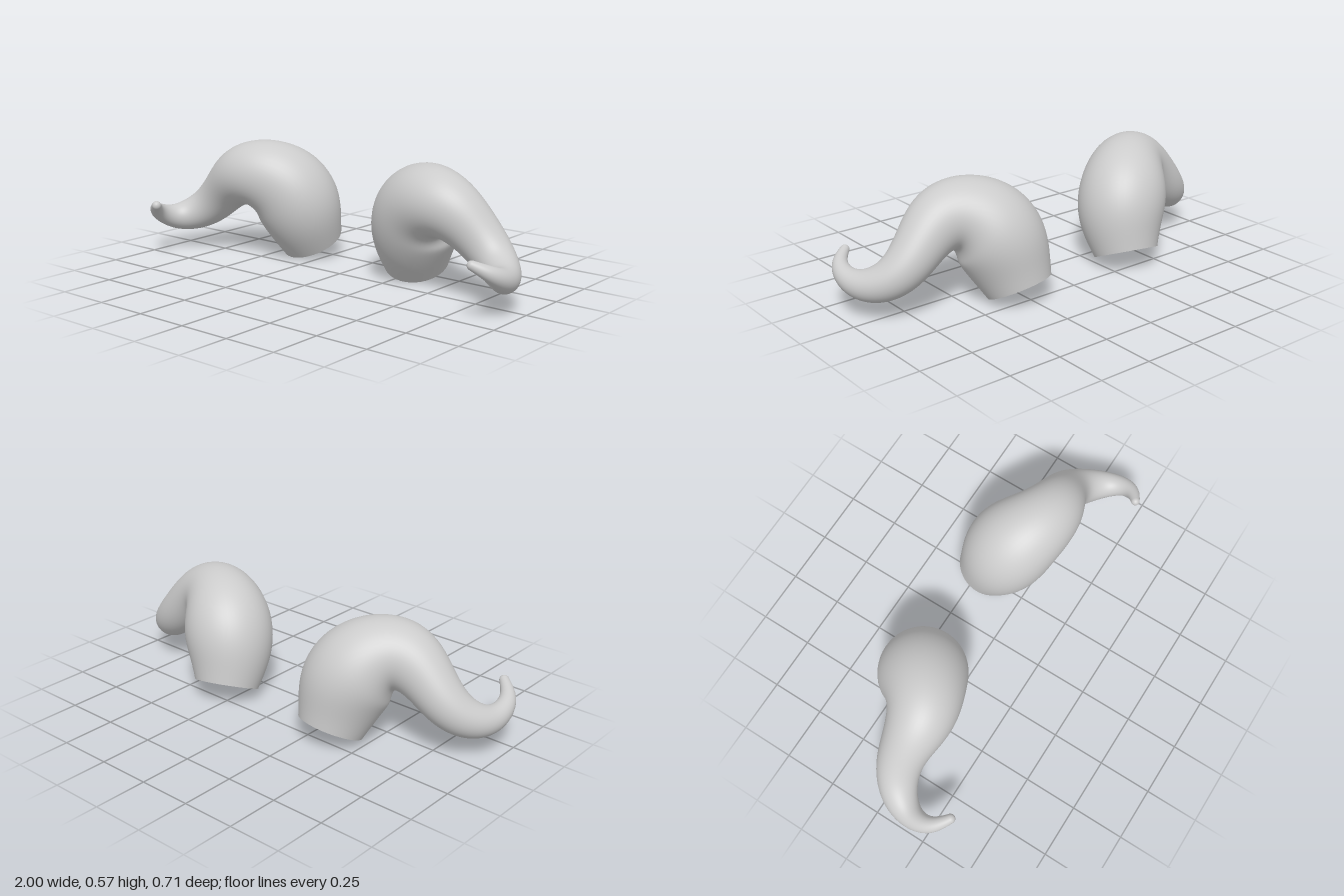
import * as THREE from 'three';

const SIDES = 48;
const STEPS = 130;
const CAP = 8;

// Centre line x, y, z and radius of each horn, from open base to tip
const LEFT = [
  [0.285, 0.063, -0.215, 0.15], [0.3, 0.155, -0.175, 0.183], [0.322, 0.25, -0.148, 0.206],
  [0.367, 0.338, -0.115, 0.207], [0.44, 0.39, -0.072, 0.184], [0.53, 0.406, -0.036, 0.157],
  [0.615, 0.377, -0.037, 0.136], [0.69, 0.312, -0.053, 0.115], [0.76, 0.242, -0.06, 0.103],
  [0.832, 0.182, -0.04, 0.09], [0.9, 0.151, 0.018, 0.076], [0.944, 0.157, 0.09, 0.057],
  [0.955, 0.185, 0.155, 0.043], [0.936, 0.216, 0.21, 0.032], [0.885, 0.245, 0.245, 0.021],
];
const RIGHT = [
  [-0.35, 0.063, -0.215, 0.15], [-0.357, 0.155, -0.175, 0.183], [-0.37, 0.25, -0.148, 0.206],
  [-0.415, 0.338, -0.115, 0.207], [-0.482, 0.393, -0.062, 0.186], [-0.565, 0.41, -0.008, 0.16],
  [-0.645, 0.38, 0.003, 0.14], [-0.72, 0.322, 0, 0.117], [-0.79, 0.252, 0.002, 0.105],
  [-0.858, 0.192, 0.032, 0.092], [-0.918, 0.163, 0.09, 0.077], [-0.95, 0.163, 0.16, 0.058],
  [-0.957, 0.19, 0.225, 0.045], [-0.938, 0.223, 0.285, 0.034], [-0.88, 0.258, 0.332, 0.022],
];

// Evens out a list of vectors, keeping both ends
function smooth(list, passes) {
  for (let n = 0; n < passes; n++) {
    list = list.map((v, i) => (i === 0 || i === list.length - 1) ? v
      : list[i - 1].clone().add(list[i + 1]).multiplyScalar(0.25).addScaledVector(v, 0.5));
  }
  return list;
}

// Rings along the horn: centre, direction and radius, with a rounded tip
function hornRings(points, baseDirection) {
  const path = new THREE.CatmullRomCurve3(
    points.map(([x, y, z]) => new THREE.Vector3(x, y, z)), false, 'catmullrom', 0.5);
  const radii = new THREE.SplineCurve(points.map((p, i) => new THREE.Vector2(i, p[3])));
  const samples = [];
  for (let i = 0; i <= STEPS; i++) {
    const { x, y, z } = path.getPoint(i / STEPS);
    samples.push(new THREE.Vector4(x, y, z, radii.getPoint(i / STEPS).y));
  }
  const line = smooth(samples, 50);
  const centres = line.map(({ x, y, z }) => new THREE.Vector3(x, y, z));
  const directions = centres.map((c, i) => i === 0 ? baseDirection.clone().normalize()
    : centres[Math.min(i + 1, STEPS)].clone().sub(centres[i - 1]).normalize());
  const rings = smooth(directions, 140).map((d, i) => (
    { centre: centres[i], tangent: d.normalize(), radius: line[i].w }));

  const end = rings[STEPS];
  for (let i = 1; i <= CAP; i++) {
    const a = (i / CAP) * Math.PI / 2;
    rings.push({
      centre: end.centre.clone().addScaledVector(end.tangent, end.radius * Math.sin(a)),
      tangent: end.tangent,
      radius: Math.max(end.radius * Math.cos(a), 0.0002),
    });
  }
  return rings;
}

// Skins the rings with one smooth surface
function hornGeometry(rings) {
  const positions = [];
  const index = [];
  const normal = new THREE.Vector3(0, 0, 1);
  const side = new THREE.Vector3();
  const v = new THREE.Vector3();
  rings.forEach(({ centre, tangent, radius }, i) => {
    // Carry the frame forward so the surface does not twist
    normal.addScaledVector(tangent, -normal.dot(tangent)).normalize();
    side.crossVectors(tangent, normal);
    for (let j = 0; j < SIDES; j++) {
      const a = (j / SIDES) * Math.PI * 2;
      v.copy(centre)
        .addScaledVector(normal, radius * Math.cos(a))
        .addScaledVector(side, radius * Math.sin(a));
      positions.push(v.x, v.y, v.z);
      if (i < rings.length - 1) {
        const p = i * SIDES + j;
        const q = i * SIDES + (j + 1) % SIDES;
        index.push(p, q, p + SIDES, q, q + SIDES, p + SIDES);
      }
    }
  });
  const geometry = new THREE.BufferGeometry();
  geometry.setAttribute('position', new THREE.Float32BufferAttribute(positions, 3));
  geometry.setIndex(index);
  geometry.computeVertexNormals();
  return geometry;
}

export function createModel() {
  const group = new THREE.Group();
  group.name = 'hornPair';
  const material = new THREE.MeshStandardMaterial({ color: 0xcccccc, side: THREE.DoubleSide });
  for (const [name, points, lean] of [['leftHorn', LEFT, 0.14], ['rightHorn', RIGHT, -0.1]]) {
    const rings = hornRings(points, new THREE.Vector3(lean, 0.9, 0.4));
    const horn = new THREE.Mesh(hornGeometry(rings), material);
    horn.name = name;
    group.add(horn);
  }
  return group;
}
